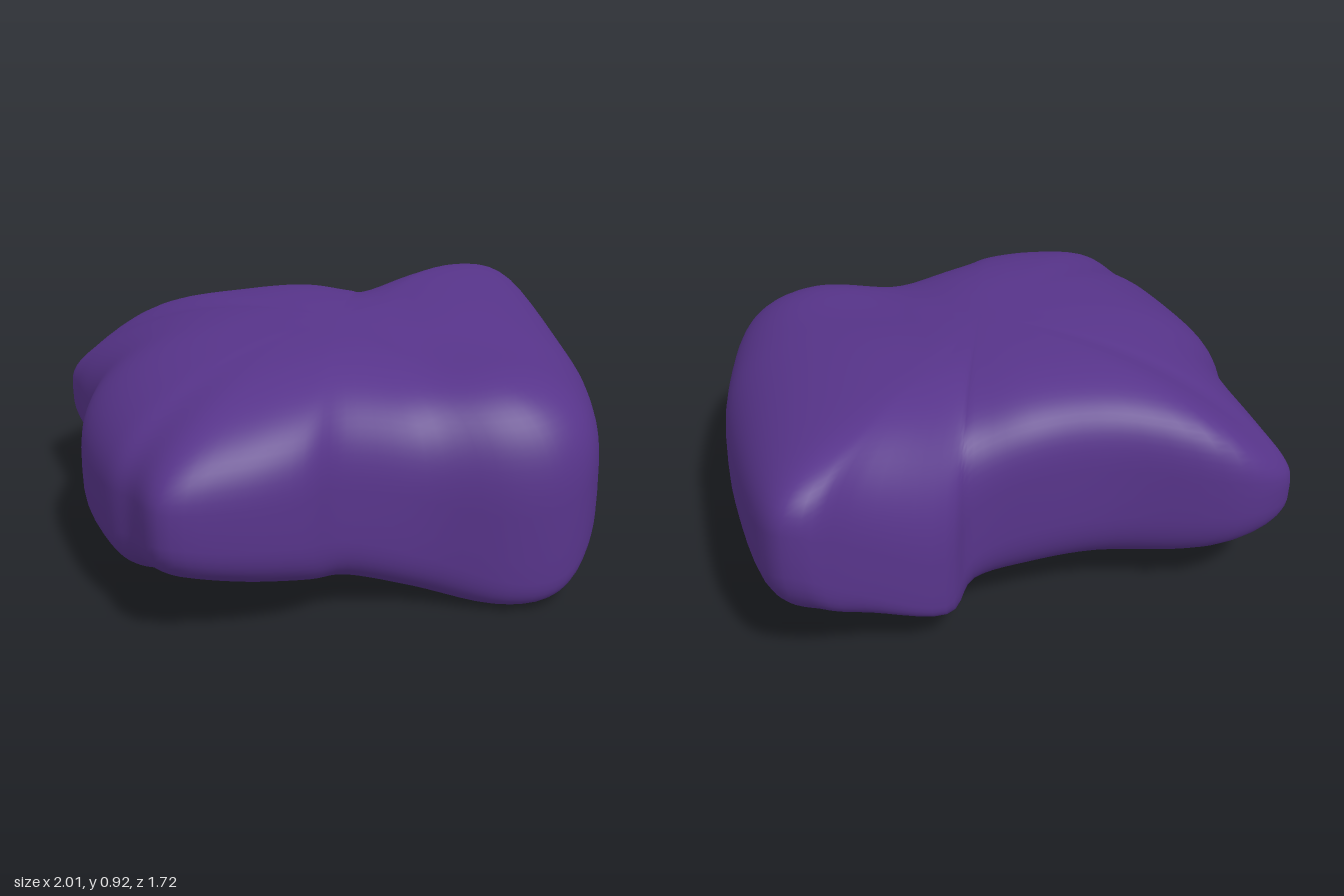
import * as THREE from 'three';
import { mergeVertices } from 'three/addons/utils/BufferGeometryUtils.js';

// Stations around the boulder: x, z and height of the widest outline,
// shoulder height, underside height, roundness of the shoulder (small = boxy)
const STATIONS = [
  [0.99, 0, 0.42, 0.91, 0.12, 0.6], [0.93, 0.35, 0.4, 0.88, 0.08, 0.56], [0.81, 0.68, 0.38, 0.86, 0.01, 0.5],
  [0.66, 0.81, 0.25, 0.85, -0.04, 0.46], [0.45, 0.82, 0.24, 0.85, -0.04, 0.48], [0.15, 0.73, 0.34, 0.87, 0.01, 0.52],
  [-0.14, 0.74, 0.44, 0.9, 0.09, 0.55], [-0.32, 0.82, 0.47, 0.9, 0.13, 0.6], [-0.57, 0.85, 0.49, 0.88, 0.17, 0.64],
  [-0.81, 0.82, 0.52, 0.83, 0.2, 0.68], [-0.88, 0.6, 0.48, 0.82, 0.13, 0.64], [-0.95, 0.42, 0.44, 0.82, 0.08, 0.62],
  [-1, 0, 0.4, 0.84, 0.07, 0.62], [-0.93, -0.3, 0.42, 0.82, 0.1, 0.58], [-0.96, -0.6, 0.46, 0.76, 0.14, 0.7],
  [-0.96, -0.77, 0.47, 0.72, 0.18, 0.78], [-0.73, -0.85, 0.5, 0.83, 0.15, 0.62], [-0.32, -0.72, 0.5, 0.93, 0.13, 0.5],
  [0, -0.7, 0.5, 0.94, 0.12, 0.48], [0.24, -0.7, 0.42, 0.92, 0.12, 0.52], [0.37, -0.79, 0.28, 0.9, 0.1, 0.62],
  [0.68, -0.82, 0.45, 0.94, 0.14, 0.55], [0.88, -0.86, 0.6, 0.95, 0.17, 0.55], [1, -0.7, 0.57, 0.94, 0.17, 0.55],
];
const AROUND = 120, RINGS = 40;
const bump = (x, z, cx, cz, radius) => Math.exp(-((x - cx) ** 2 + (z - cz) ** 2) / radius ** 2);

function boulderGeometry() {
  const loop = (fn) => new THREE.CatmullRomCurve3(STATIONS.map(fn), true, 'catmullrom', 0.5);
  const outline = loop(([x, z, mid]) => new THREE.Vector3(x, mid, z));
  const sections = loop(([, , , top, bottom, round]) => new THREE.Vector3(top, bottom, round));
  const positions = [], index = [];

  // Rounded-square section from underside to crown at every step around the outline
  for (let j = 0; j <= RINGS; j++) {
    const t = (j / RINGS - 0.5) * Math.PI;
    for (let i = 0; i < AROUND; i++) {
      const edge = outline.getPoint(i / AROUND);
      const { x: top, y: bottom, z: round } = sections.getPoint(i / AROUND);
      // Low-slung stations get a boxier underside
      const power = t > 0 ? round : 0.35 + 0.5 * edge.y;
      const r = j % RINGS ? Math.cos(t) ** power : 0;
      const rise = Math.abs(Math.sin(t)) ** power;
      const x = edge.x * r, z = edge.z * r;
      const mid = THREE.MathUtils.lerp(0.48, edge.y, r);
      // Shallow valley across the crown, deepest toward the front left
      const valley = 0.03 * Math.exp(-(((x - 0.22) / 0.17) ** 2)) + 0.04 * bump(x, z, 0.35, 0.35, 0.3);
      const limit = t > 0
        ? THREE.MathUtils.lerp(0.94, top, r ** 3) - valley
        : THREE.MathUtils.lerp(0.1, bottom, r);
      positions.push(x, mid + (limit - mid) * rise, z);
      if (j < RINGS) {
        const a = j * AROUND + i, b = j * AROUND + (i + 1) % AROUND;
        index.push(a, a + AROUND, b, b, a + AROUND, b + AROUND);
      }
    }
  }
  const raw = new THREE.BufferGeometry();
  raw.setAttribute('position', new THREE.Float32BufferAttribute(positions, 3));
  raw.setIndex(index);
  const geometry = mergeVertices(raw, 1e-5);

  // Rest the lowest foot on the ground
  geometry.computeBoundingBox();
  geometry.translate(0, -geometry.boundingBox.min.y, 0);
  geometry.computeVertexNormals();
  return geometry;
}

export function createModel() {
  const group = new THREE.Group();
  group.name = 'rock';
  const boulder = new THREE.Mesh(boulderGeometry(), new THREE.MeshStandardMaterial({ color: 0x57348a }));
  boulder.name = 'boulder';
  group.add(boulder);
  return group;
}
